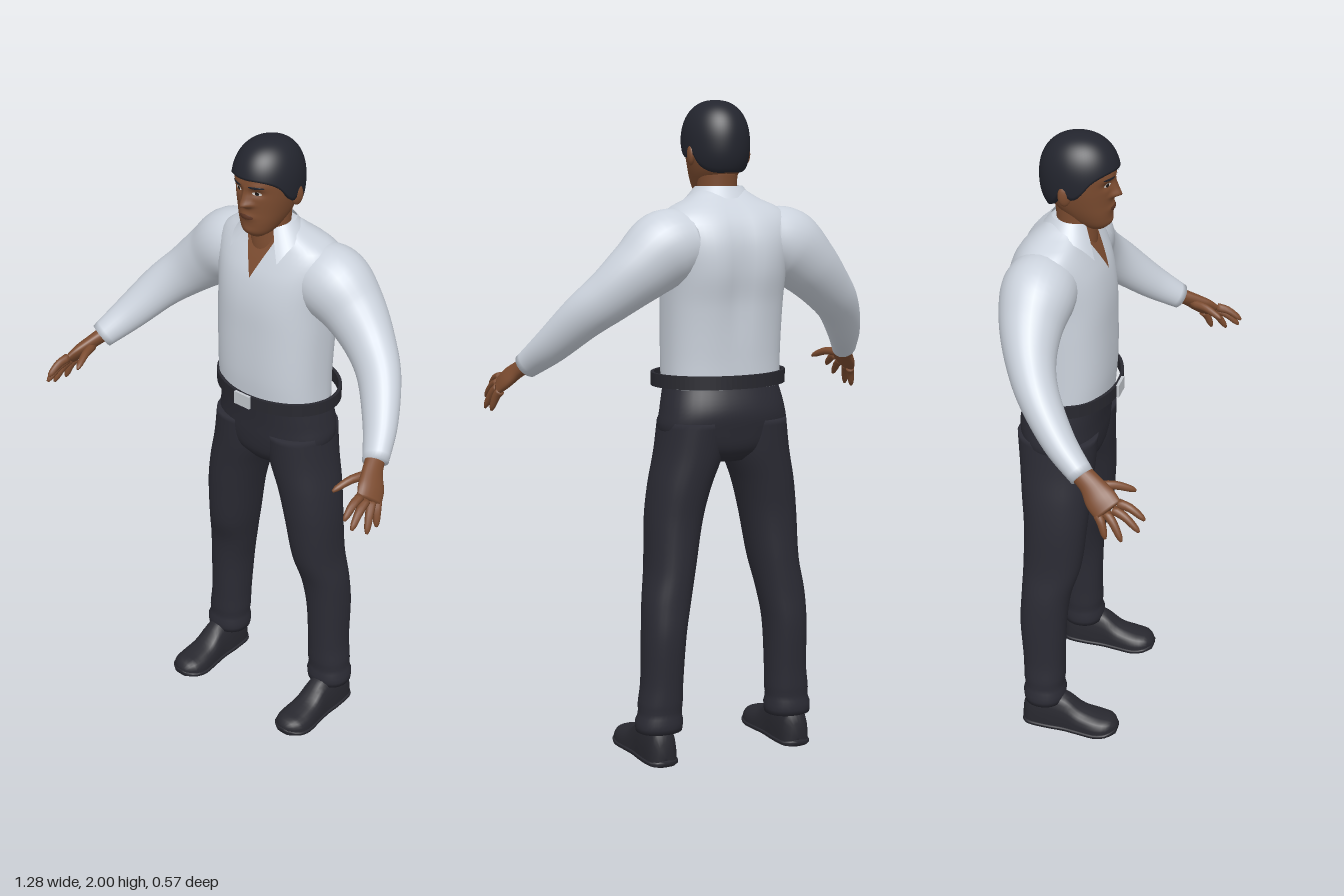
import * as THREE from 'three';

const mat = (name, color, side = THREE.FrontSide) => {
  const m = new THREE.MeshStandardMaterial({ color, side });
  m.name = name;
  return m;
};
const V = (x, y, z) => new THREE.Vector3(x, y, z);
const spow = (v, e) => Math.sign(v) * Math.abs(v) ** e;
const bump = (v, s) => Math.exp(-(v * v) / (s * s));

// Smoothly interpolates a table whose first column is the ascending key
function at(table, k) {
  const n = table.length - 1;
  let i = 0;
  while (i < n - 1 && k > table[i + 1][0]) i++;
  const a = table[i], b = table[i + 1], h = b[0] - a[0];
  const t = THREE.MathUtils.clamp((k - a[0]) / h, 0, 1);
  const p = table[Math.max(i - 1, 0)], q = table[Math.min(i + 2, n)];
  return a.slice(1).map((va, c) => {
    const vb = b[c + 1];
    const ma = (vb - p[c + 1]) / (b[0] - p[0]) * h, mb = (q[c + 1] - va) / (q[0] - a[0]) * h;
    return (2 * t ** 3 - 3 * t * t + 1) * va + (t ** 3 - 2 * t * t + t) * ma
      + (3 * t * t - 2 * t ** 3) * vb + (t ** 3 - t * t) * mb;
  });
}

// Skins rows of points; closed rows become a capped tube
function skin(rows, closed = true) {
  const n = rows[0].length, pos = rows.flat().flatMap(p => [p.x, p.y, p.z]), idx = [];
  for (let i = 0; i < rows.length - 1; i++)
    for (let j = 0; j < (closed ? n : n - 1); j++) {
      const a = i * n + j, b = i * n + (j + 1) % n;
      idx.push(a, b, b + n, a, b + n, a + n);
    }
  if (closed) [0, rows.length - 1].forEach((r, end) => {
    const c = rows[r].reduce((s, p) => s.add(p), V(0, 0, 0)).divideScalar(n), k = pos.length / 3;
    pos.push(c.x, c.y, c.z);
    for (let j = 0; j < n; j++) {
      const a = r * n + j, b = r * n + (j + 1) % n;
      idx.push(...(end ? [a, b, k] : [b, a, k]));
    }
  });
  const g = new THREE.BufferGeometry();
  g.setAttribute('position', new THREE.Float32BufferAttribute(pos, 3));
  g.setIndex(idx);
  g.computeVertexNormals();
  return g;
}

// Upright body from rows of [y, centre x, half width, front z, back z]
function body(table, rows, segs, pow = 2, rule = p => p) {
  const y0 = table[0][0], y1 = table.at(-1)[0], e = 2 / pow;
  return skin(Array.from({ length: rows + 1 }, (_, i) => {
    const y = y0 + (y1 - y0) * i / rows, [cx, w, zf, zb] = at(table, y);
    return Array.from({ length: segs }, (_, j) => {
      const a = j / segs * Math.PI * 2;
      return rule(V(cx + w * spow(Math.sin(a), e), y, (zf + zb) / 2 + (zf - zb) / 2 * spow(Math.cos(a), e)));
    });
  }));
}
const frontZ = (table, pow) => (x, y) => {
  const [cx, w, zf, zb] = at(table, y);
  return (zf + zb) / 2 + (zf - zb) / 2 * Math.max(0, 1 - Math.abs((x - cx) / w) ** pow) ** (1 / pow);
};

// Limb along rows of [x, y, z, thickness, width]; ref is the width direction
function limb(rows, ref = V(0, 0, 1), steps = 20, segs = 20) {
  const table = rows.map((r, i) => [i, ...r]), last = rows.length - 1;
  const centre = k => V(...at(table, k).slice(0, 3));
  return skin(Array.from({ length: steps + 1 }, (_, i) => {
    const k = i / steps * last, [, , , ru, rv] = at(table, k), c = centre(k);
    const t = centre(Math.min(k + 0.1, last)).sub(centre(Math.max(k - 0.1, 0))).normalize();
    const u = t.clone().cross(ref).normalize(), v = u.clone().cross(t);
    return Array.from({ length: segs }, (_, j) => {
      const a = j / segs * Math.PI * 2;
      return c.clone().addScaledVector(u, ru * Math.sin(a)).addScaledVector(v, rv * Math.cos(a));
    });
  }));
}

// Thin patch lying on a front surface
const patch = (zAt, cx, y0, y1, half, off) => skin(Array.from({ length: 11 }, (_, i) =>
  Array.from({ length: 11 }, (_, j) => {
    const x = cx + half(i / 10) * (j / 5 - 1), y = y0 + (y1 - y0) * i / 10;
    return V(x, y, zAt(x, y) + off);
  })), false);
const oval = r => t => r * Math.sqrt(Math.max(0, 1 - (2 * t - 1) ** 2));

function mirror(geo) {
  const g = geo.clone().scale(-1, 1, 1), ix = g.index.array;
  for (let i = 0; i < ix.length; i += 3) [ix[i], ix[i + 1]] = [ix[i + 1], ix[i]];
  g.computeVertexNormals();
  return g;
}

export function createModel() {
  const root = new THREE.Group();
  const shirt = mat('shirt cloth', 0xccd3dd, THREE.DoubleSide), cloth = mat('trouser cloth', 0x2b2b34);
  const hairM = mat('hair', 0x23252e), skinM = mat('skin', 0x7c4c30), leather = mat('leather', 0x28282f);
  const lipM = mat('lips', 0x5e3625), white = mat('eye white', 0xd4d0cc), dark = mat('iris', 0x1c1614);
  const metal = mat('buckle metal', 0xc4c8ce);
  const add = (name, geo, m) => {
    const mesh = new THREE.Mesh(geo, m);
    mesh.name = name;
    root.add(mesh);
    return mesh;
  };
  const pair = (name, geo, m) => { add(name + 'Left', geo, m); add(name + 'Right', mirror(geo), m); };

  // Shirt torso with a groove down the spine
  const torso = [[1.15, 0, .183, .012, -.245], [1.25, 0, .183, .02, -.25], [1.4, 0, .186, .02, -.265],
    [1.5, 0, .19, .016, -.283], [1.58, 0, .2, 0, -.28], [1.64, 0, .205, -.025, -.258],
    [1.68, 0, .18, -.045, -.228], [1.71, 0, .115, -.055, -.195], [1.74, 0, .072, -.06, -.16]];
  add('shirtTorso', body(torso, 36, 48, 2.5, p => {
    if (p.z < -.15) p.z += .018 * bump(p.x, .04) * bump(p.y - 1.48, .17);
    return p;
  }), shirt);
  add('openNeck', patch(frontZ(torso, 2.5), 0, 1.58, 1.72, t => .062 * t, .006), skinM);
  add('neck', body([[1.58, 0, .06, -.04, -.17], [1.66, 0, .062, -.03, -.16], [1.72, 0, .06, -.033, -.15],
    [1.8, 0, .062, -.035, -.155]], 10, 32), skinM);

  // Folded collar, open at the throat
  const collarRow = f => Array.from({ length: 41 }, (_, j) => {
    const s = j / 20 - 1, a = s * (Math.PI - .62), tip = Math.abs(s) ** 5;
    const r = .074 + .03 * f + .01 * tip * f;
    return V(-r * Math.sin(a) * (1 + .35 * tip * f), 1.748 - .012 * tip - f * (.035 + .055 * tip),
      -.102 - r * .85 * Math.cos(a) + .012 * tip * f);
  });
  add('collar', skin([collarRow(1), collarRow(.5), collarRow(0)], false), shirt);

  // Sleeves
  pair('sleeve', limb([[.12, 1.585, -.15, .1, .105], [.2, 1.565, -.15, .116, .11], [.28, 1.505, -.145, .098, .092],
    [.36, 1.435, -.12, .081, .072], [.43, 1.37, -.075, .07, .06], [.5, 1.28, .005, .056, .048],
    [.55, 1.212, .088, .041, .036]], V(0, 0, 1), 36, 28), shirt);

  // Hands
  const across = V(-.3, .38, .87);
  pair('palm', limb([[.54, 1.225, .07, .024, .03], [.562, 1.2, .115, .021, .034], [.585, 1.172, .15, .02, .045],
    [.602, 1.148, .18, .014, .044]], across), skinM);
  const fingers = [[[.588, 1.168, .205], [.595, 1.13, .283]], [[.6, 1.153, .193], [.614, 1.1, .272]],
    [[.607, 1.142, .175], [.633, 1.072, .226]], [[.61, 1.132, .152], [.63, 1.07, .178]],
    [[.552, 1.19, .13], [.513, 1.168, .235]]];
  fingers.forEach(([a, b], i) => {
    const rows = [[0, .014], [.45, .0125], [.85, .0095], [1, .004]].map(([t, r]) =>
      [...a.map((v, c) => v + (b[c] - v) * t + (c === 1 ? .01 * Math.sin(t * Math.PI) : 0)), r, r]);
    pair(i < 4 ? 'finger' + (i + 1) : 'thumb', limb(rows, across, 9, 10), skinM);
  });

  // Head with a modelled nose, brow, eye sockets and lips
  const head = [[1.715, 0, .026, -.005, -.06], [1.73, 0, .045, .01, -.09], [1.76, 0, .062, .017, -.13],
    [1.8, 0, .076, .018, -.165], [1.85, 0, .086, .02, -.18], [1.9, 0, .088, .022, -.185],
    [1.95, 0, .078, .008, -.172], [1.98, 0, .045, -.03, -.13]];
  const relief = (x, y) => {
    const ax = Math.abs(x), d = y < 1.825 ? bump(y - 1.825, .009) : Math.max(0, 1 - (y - 1.825) / .06);
    return .028 * d * bump(x, .011 + .007 * bump(y - 1.825, .012)) - .009 * bump(ax - .034, .019) * bump(y - 1.863, .012)
      + .004 * bump(y - 1.884, .01) * bump(ax - .03, .03) + .006 * bump(y - 1.785, .011) * bump(x, .026)
      + .004 * bump(y - 1.737, .012) * bump(x, .025);
  };
  add('head', body(head, 64, 72, 2.2, p => {
    if (p.z > -.06) p.z += relief(p.x, p.y);
    return p;
  }), skinM);
  const baseZ = frontZ(head, 2.2), faceZ = (x, y) => baseZ(x, y) + relief(x, y);
  pair('eye', patch(faceZ, .034, 1.857, 1.869, oval(.014), .003), white);
  pair('iris', patch(faceZ, .034, 1.857, 1.869, oval(.006), .005), dark);
  pair('eyebrow', patch(faceZ, .036, 1.88, 1.888, oval(.022), .003), hairM);
  add('lips', patch(faceZ, 0, 1.777, 1.793, oval(.025), .002), lipM);
  pair('ear', new THREE.SphereGeometry(1, 16, 12).scale(.012, .032, .02).rotateY(-.3).translate(.09, 1.84, -.1), skinM);

  // Hair cap whose lower edge follows the hairline, keyed by angle from the front
  const hairline = [[0, 1.908], [.6, 1.905], [1.05, 1.885], [1.4, 1.84], [1.6, 1.832], [1.8, 1.855],
    [2.1, 1.81], [2.5, 1.79], [Math.PI, 1.788]];
  const hairRows = Array.from({ length: 26 }, (_, i) => Array.from({ length: 72 }, (_, j) => {
    const a = j / 72 * Math.PI * 2, [low] = at(hairline, Math.min(a, Math.PI * 2 - a));
    const s = Math.sin(Math.max(i - 1, 0) / 24 * Math.PI / 2), y = low + (2 - low) * s;
    const r = Math.max(.001, 1 - Math.abs((y - 1.87) / .1301) ** 2.3) ** (1 / 2.3) * (i ? 1 : .8);
    return V(.1 * r * Math.sin(a), y, -.08 + .12 * r * Math.cos(a));
  }));
  add('hair', skin(hairRows), hairM);

  // Trousers
  add('trouserHips', body([[.925, 0, .07, -.04, -.2], [.96, 0, .15, -.015, -.235], [1.02, 0, .202, -.004, -.252],
    [1.08, 0, .197, 0, -.26], [1.17, 0, .176, .01, -.238]], 16, 40, 2.3), cloth);
  pair('trouserLeg', body([[.1, .222, .071, -.08, -.21], [.13, .221, .073, -.076, -.214], [.155, .219, .066, -.083, -.209],
    [.18, .218, .068, -.08, -.212], [.25, .213, .064, -.08, -.215], [.4, .207, .067, -.075, -.225],
    [.5, .195, .073, -.064, -.222], [.6, .177, .075, -.036, -.22], [.75, .16, .085, -.02, -.22],
    [.85, .141, .092, -.014, -.23], [.95, .113, .1, -.008, -.242], [1.05, .1, .098, -.002, -.252]], 60, 32, 2.2), cloth);

  // Loose belt ring and buckle
  const ring = new THREE.Shape().absellipse(0, 0, .212, .162, 0, Math.PI * 2);
  ring.holes.push(new THREE.Path().absellipse(0, 0, .202, .152, 0, Math.PI * 2, true));
  add('belt', new THREE.ExtrudeGeometry(ring, { depth: .04, bevelEnabled: false, curveSegments: 40 })
    .rotateX(-Math.PI / 2).translate(.01, 1.156, -.122), leather);
  add('buckle', new THREE.BoxGeometry(.06, .042, .009).translate(.003, 1.176, .041), metal);

  // Shoes: rows of [z, half width, height], with a flat sole
  const shoe = [[-.212, .026, .075], [-.195, .043, .12], [-.13, .049, .135], [-.07, .048, .12], [-.02, .053, .08],
    [.04, .058, .062], [.08, .047, .05], [.1, .02, .032]];
  const shoeRows = (grow, top) => Array.from({ length: 25 }, (_, i) => {
    const z = -.212 + .312 * i / 24, [w, h] = at(shoe, z);
    const lift = .008 * THREE.MathUtils.smoothstep(z, .03, .1);
    return Array.from({ length: 24 }, (_, j) => {
      const a = -j / 24 * Math.PI * 2, s = Math.sin(a), hh = Math.min(h, top);
      return V(.228 + (w + grow) * spow(Math.cos(a), .75), lift + (s > 0 ? .012 + (hh - .012) * s ** .8 : .012 + .012 * spow(s, .4)), z * (1 + grow));
    }).reverse();
  });
  pair('shoe', skin(shoeRows(0, 1)), leather);
  pair('shoeSole', skin(shoeRows(.005, .02)), leather);
  return root;
}
